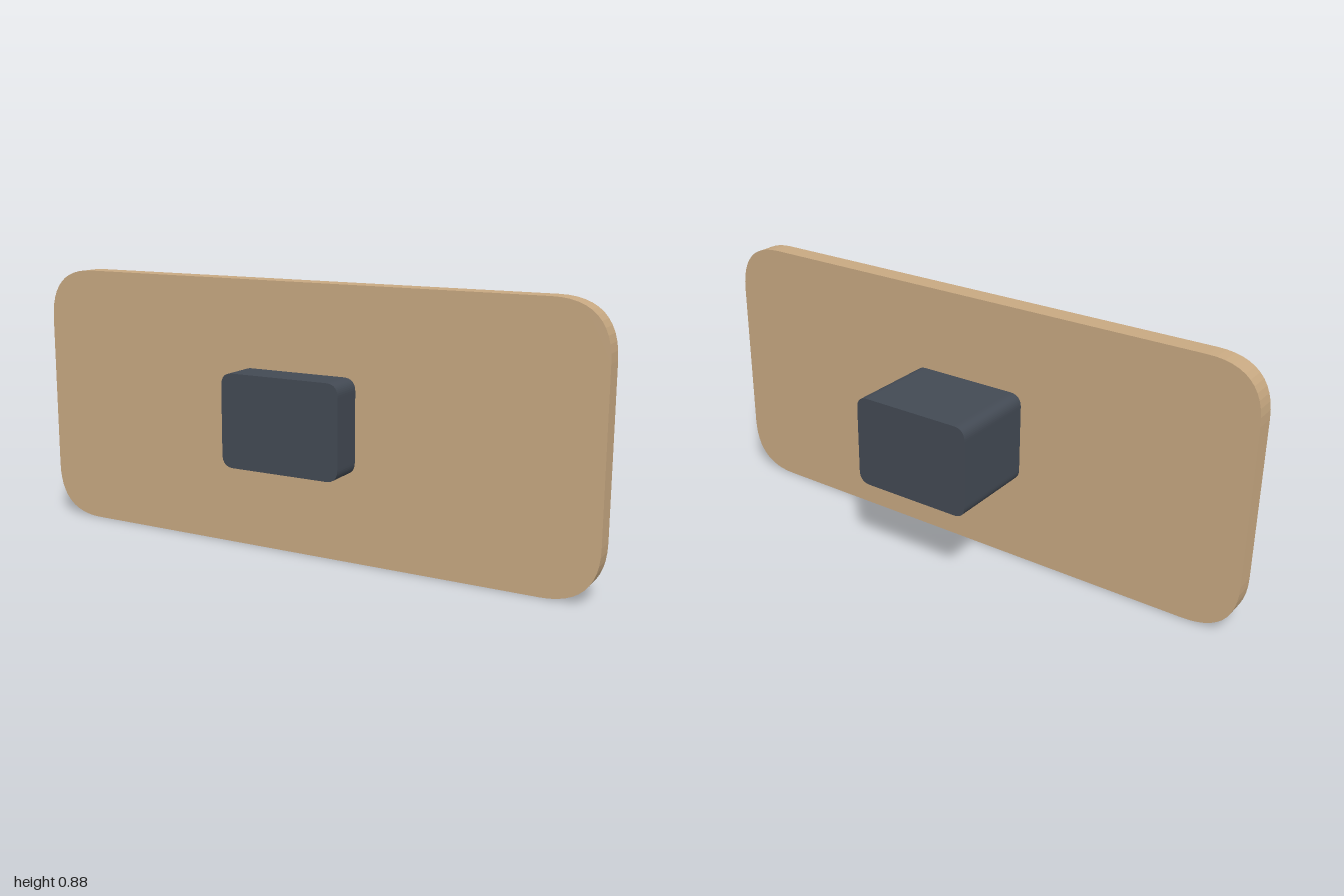
import * as THREE from 'three';

// Rectangle centred on the origin with softly curved corners
function roundedRect(w, h, r) {
  const x = w / 2, y = h / 2;
  const s = new THREE.Shape();
  s.moveTo(-x + r, -y);
  s.lineTo(x - r, -y);
  s.quadraticCurveTo(x, -y, x, -y + r);
  s.lineTo(x, y - r);
  s.quadraticCurveTo(x, y, x - r, y);
  s.lineTo(-x + r, y);
  s.quadraticCurveTo(-x, y, -x, y - r);
  s.lineTo(-x, -y + r);
  s.quadraticCurveTo(-x, -y, -x + r, -y);
  return s;
}

// Rounded slab extruded along z, from zBack to zFront
function slab(name, w, h, r, yCentre, zBack, zFront, color) {
  const geometry = new THREE.ExtrudeGeometry(roundedRect(w, h, r), {
    depth: zFront - zBack, bevelEnabled: false, curveSegments: 12,
  });
  const mesh = new THREE.Mesh(geometry, new THREE.MeshStandardMaterial({ color }));
  mesh.name = name;
  mesh.position.set(0, yCentre, zBack);
  return mesh;
}

export function createModel() {
  const model = new THREE.Group();
  model.name = 'panelWithBlock';
  // Wide upright panel
  model.add(slab('panel', 2, 0.885, 0.177, 0.4425, 0.063, 0.131, 0xc8a982));
  // Block passing through the panel, longer at the back
  model.add(slab('block', 0.42, 0.308, 0.042, 0.444, -0.246, 0.246, 0x434a54));
  return model;
}
